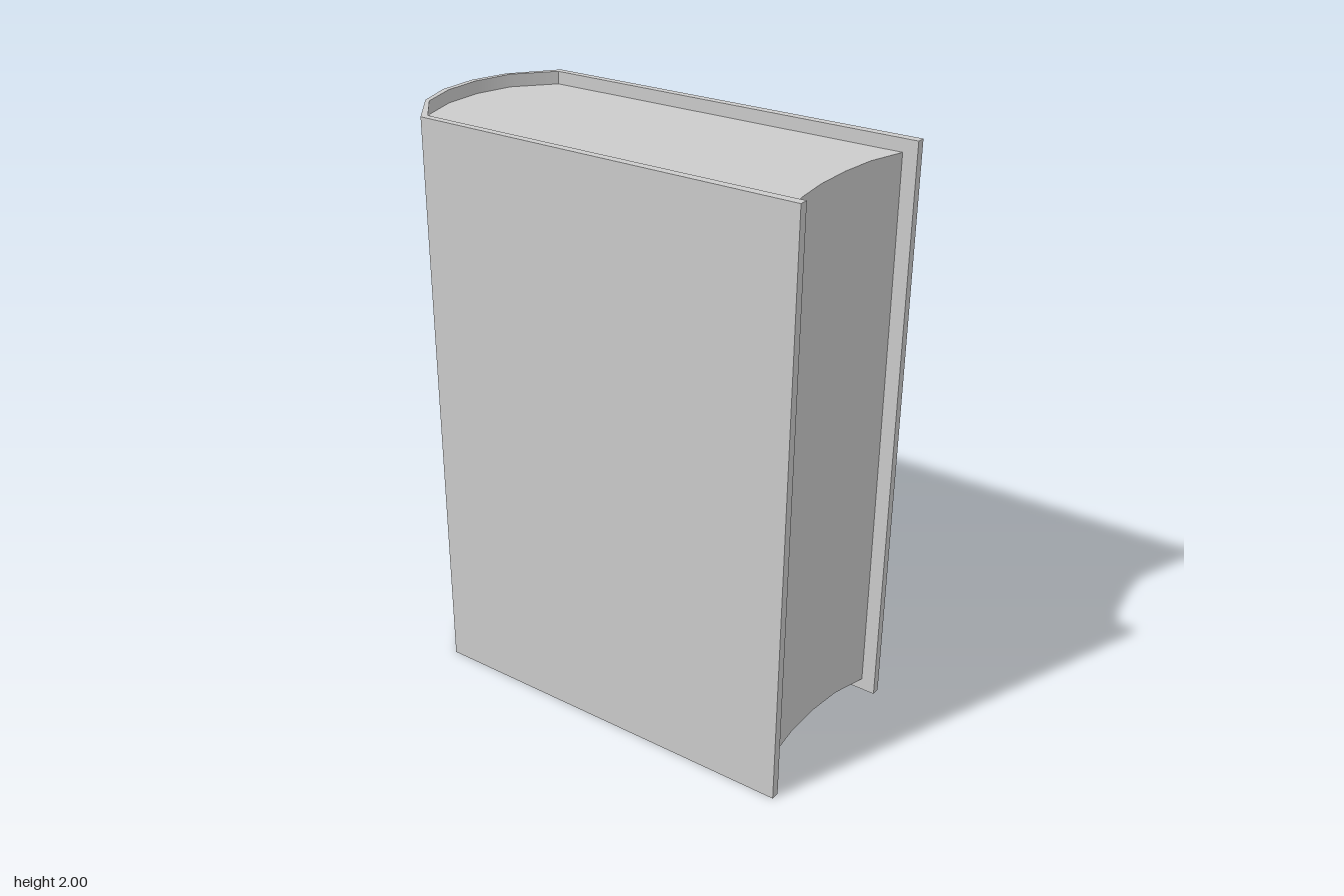
import * as THREE from 'three';
import { toCreasedNormals } from 'three/addons/utils/BufferGeometryUtils.js';

// Half outlines in plan, as [x, z], mirrored across z = 0
const outerHalf = [[0.757, 0.352], [-0.6, 0.346], [-0.717, 0.198], [-0.757, 0.07]];
const spineInside = [[-0.592, 0.322], [-0.7, 0.198], [-0.737, 0.066]];
const foreEdge = [[0.657, 0.07], [0.671, 0.198], [0.708, 0.322]];

const mirror = (points) => points.map(([x, z]) => [x, -z]).reverse();

// Upright prism from a plan outline; gentle curves smooth, corners sharp
function prism(name, outline, bottom, top) {
  const shape = new THREE.Shape(outline.map(([x, z]) => new THREE.Vector2(x, -z)));
  const geometry = new THREE.ExtrudeGeometry(shape, { depth: top - bottom, bevelEnabled: false });
  geometry.rotateX(-Math.PI / 2).translate(0, bottom, 0);
  const material = new THREE.MeshStandardMaterial({ color: 0xcccccc });
  const mesh = new THREE.Mesh(toCreasedNormals(geometry, 0.6), material);
  mesh.name = name;
  return mesh;
}

export function createModel() {
  const book = new THREE.Group();
  book.name = 'book';

  // Cover boards joined by the rounded spine
  const innerHalf = [[0.757, 0.322], ...spineInside];
  const inner = [...innerHalf, ...mirror(innerHalf)].reverse();
  book.add(prism('cover', [...outerHalf, ...mirror(outerHalf), ...inner], 0, 2));

  // Page block with rounded back and hollow fore edge
  const pagesHalf = [...foreEdge, ...spineInside];
  book.add(prism('pages', [...pagesHalf, ...mirror(pagesHalf)], 0.043, 1.957));

  return book;
}
